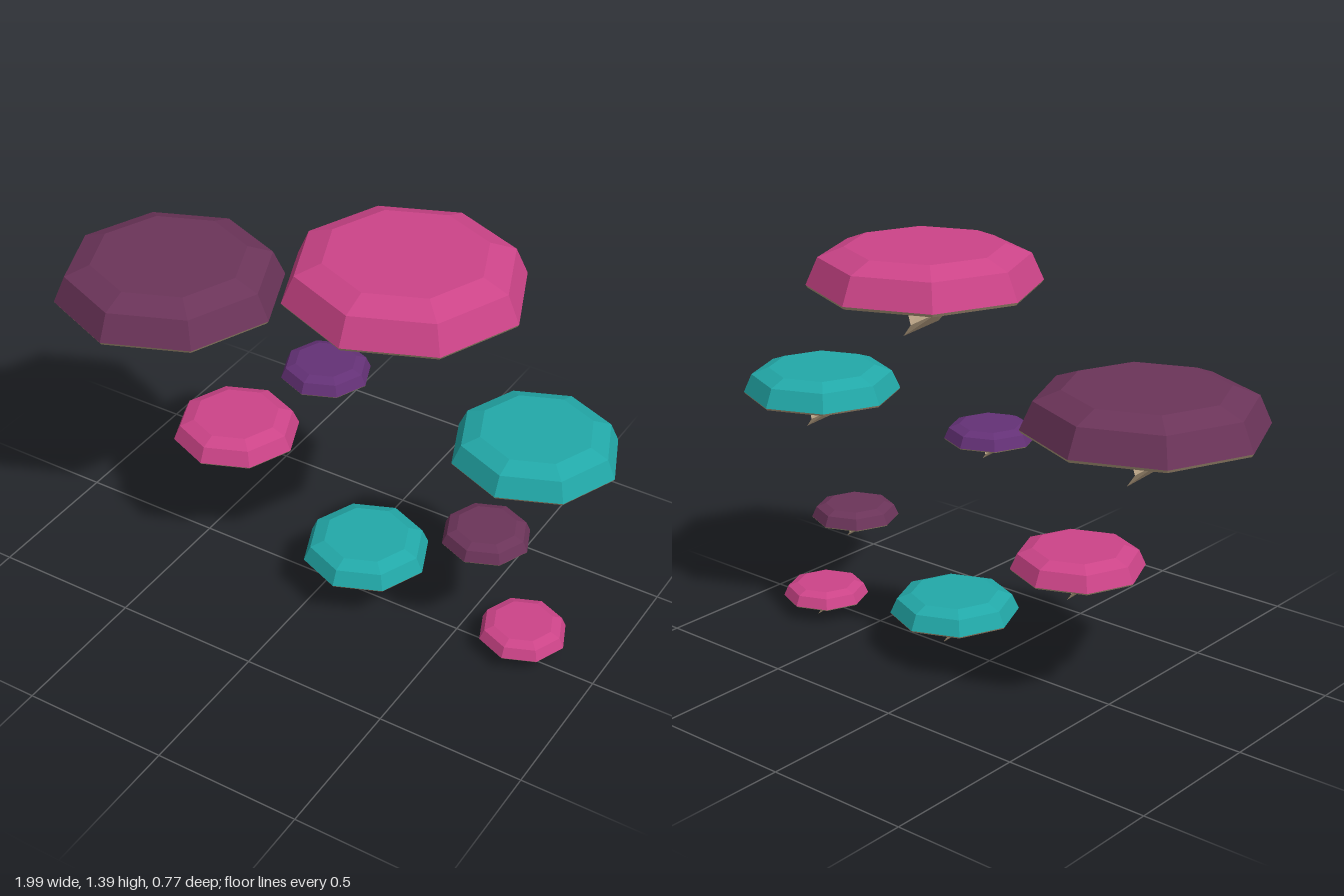
import * as THREE from 'three';

const SIDES = 8;

function material(name, color) {
  const m = new THREE.MeshStandardMaterial({ color });
  m.name = name;
  return m;
}

// Faceted normals for the low-poly look
function faceted(geometry) {
  const g = geometry.index ? geometry.toNonIndexed() : geometry;
  g.computeVertexNormals();
  return g;
}

// Eight-sided turned solid from [radius, height] pairs, bottom to top
function turned(profile) {
  return faceted(new THREE.LatheGeometry(profile.map(([r, y]) => new THREE.Vector2(r, y)), SIDES));
}

// Stem that bends from under the cap toward the back
function stemGeometry() {
  // Each ring: front point [z, y], back point [z, y], half width
  const rings = [
    { front: [0.145, 0.002], back: [-0.125, 0.002], w: 0.142 },
    { front: [0, -0.118], back: [-0.1, -0.01], w: 0.098 },
    { front: [-0.171, -0.139], back: [-0.14, -0.033], w: 0.075 },
    { front: [-0.18, -0.082], back: [-0.18, -0.082], w: 0 },
  ];
  const point = (i, j) => {
    const { front, back, w } = rings[i];
    const a = (j / SIDES) * Math.PI * 2;
    const t = (1 + Math.cos(a)) / 2;
    return [w * Math.sin(a), back[1] + (front[1] - back[1]) * t, back[0] + (front[0] - back[0]) * t];
  };
  const pos = [];
  for (let i = 0; i < rings.length - 1; i++) {
    for (let j = 0; j < SIDES; j++) {
      pos.push(...point(i, j), ...point(i + 1, j), ...point(i + 1, j + 1));
      if (i < rings.length - 2) pos.push(...point(i, j), ...point(i + 1, j + 1), ...point(i, j + 1));
    }
  }
  const g = new THREE.BufferGeometry();
  g.setAttribute('position', new THREE.Float32BufferAttribute(pos, 3));
  return faceted(g);
}

export function createModel() {
  const model = new THREE.Group();
  model.name = 'shelfMushrooms';

  const pink = material('pink', 0xcc4488);
  const plum = material('plum', 0x6b3459);
  const teal = material('teal', 0x22a8a8);
  const purple = material('purple', 0x643176);
  const tan = material('tan', 0xb39d80);

  const capGeo = turned([[0.385, 0.01], [0.345, 0.1], [0.26, 0.133], [0, 0.133]]);
  const gillGeo = turned([[0, 0], [0.378, 0], [0.385, 0.01]]);
  const stemGeo = stemGeometry();

  // x, underside height, z, scale, cap colour
  const mushrooms = [
    [0.27, 1.257, 0, 1, pink],
    [-0.615, 0.962, 0, 1, plum],
    [0.725, 0.807, -0.027, 0.694, teal],
    [-0.04, 0.817, -0.043, 0.385, purple],
    [-0.387, 0.455, -0.027, 0.562, pink],
    [0.567, 0.394, -0.043, 0.385, plum],
    [0.13, 0.154, -0.027, 0.562, teal],
    [0.72, 0.056, -0.043, 0.385, pink],
  ];

  mushrooms.forEach(([x, y, z, s, colour], i) => {
    const mushroom = new THREE.Group();
    mushroom.name = `mushroom${i + 1}`;
    for (const [name, geo, mat] of [['cap', capGeo, colour], ['underside', gillGeo, tan], ['stem', stemGeo, tan]]) {
      const mesh = new THREE.Mesh(geo, mat);
      mesh.name = name;
      mushroom.add(mesh);
    }
    mushroom.position.set(x, y, z);
    mushroom.scale.setScalar(s);
    model.add(mushroom);
  });

  return model;
}
